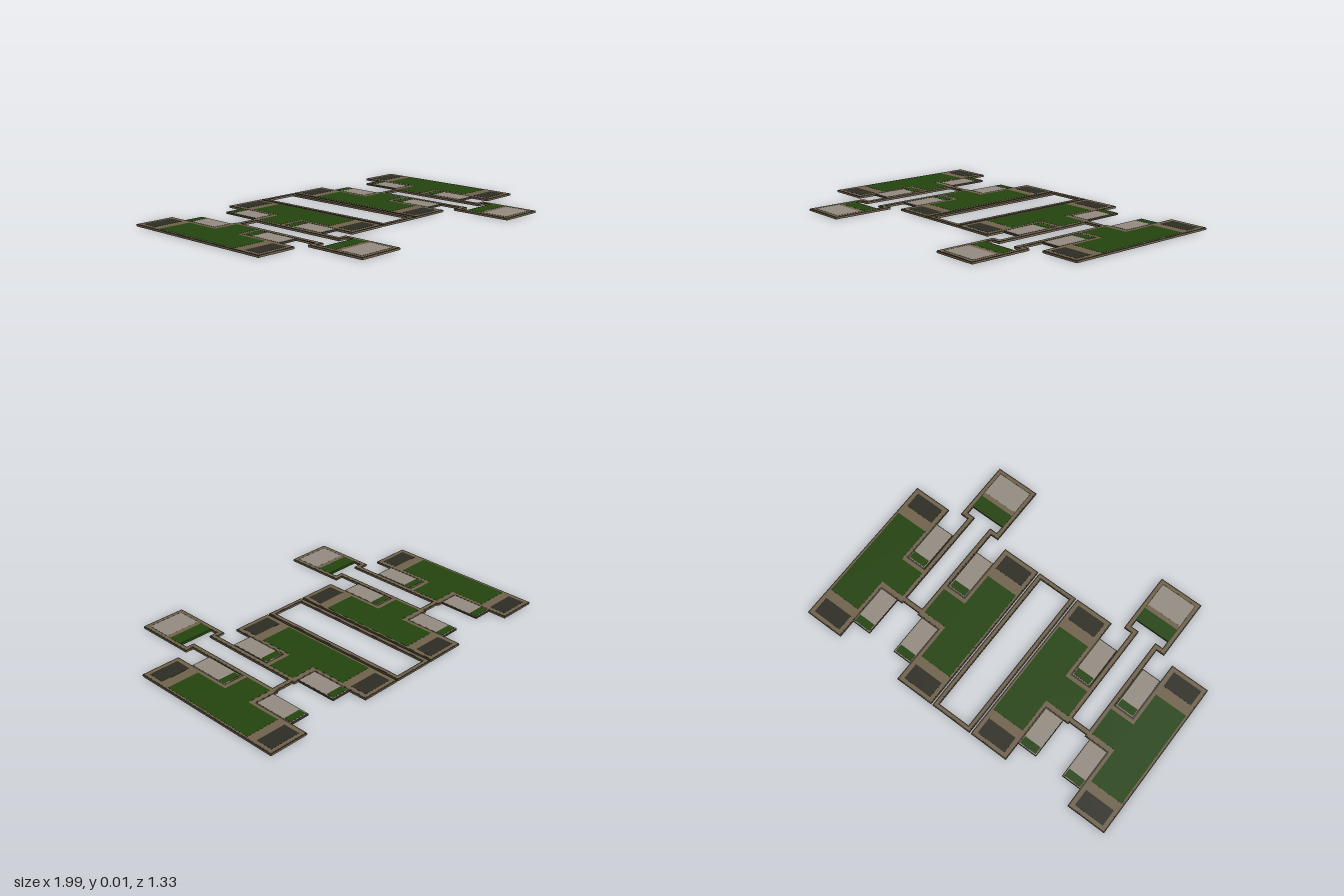
import * as THREE from 'three';

const mat = (name, color) => Object.assign(new THREE.MeshStandardMaterial({ color }), { name });
const H = 0.014; // overall thickness

export function createModel() {
  const stone = mat('brown stone', 0x6f624c);
  const edge = mat('dark edging', 0x40382b);
  const grass = mat('grass green', 0x24430f);
  const slate = mat('dark slate', 0x2e2d24);
  const paving = mat('pale paving', 0x938b80);
  const model = new THREE.Group();
  model.name = 'gardenTerrace';

  // Box given by its x and z limits, centred in the thickness
  function slab(parent, name, material, x0, x1, z0, z1, h) {
    const mesh = new THREE.Mesh(new THREE.BoxGeometry(Math.abs(x1 - x0), h, z1 - z0), material);
    mesh.position.set((x0 + x1) / 2, H / 2, (z0 + z1) / 2);
    mesh.name = name;
    parent.add(mesh);
  }

  // Stone kerb with dark lines along its top and bottom edges
  function kerb(parent, name, x0, x1, z0, z1) {
    const g = new THREE.Group();
    g.name = name;
    const t = 0.006, o = 0.0006;
    slab(g, name + 'Edging', edge, x0, x1, z0, z1, H - 0.0022);
    slab(g, name + 'Face', stone, x0 + t, x1 - t, z0 + t, z1 - t, H - 0.0012);
    slab(g, name + 'Side', stone, x0 - o, x1 + o, z0 - o, z1 + o, 0.007);
    parent.add(g);
  }

  // Half of a wing, measured outward from the wing's middle line
  function halfWing() {
    const g = new THREE.Group();
    g.name = 'halfWing';
    kerb(g, 'bedBase', 0.2, 0.43, -0.665, 0.28);
    kerb(g, 'armBase', 0.055, 0.215, -0.315, -0.085);
    slab(g, 'lawn', grass, 0.222, 0.416, -0.49, 0.095, H);
    slab(g, 'lawnArm', grass, 0.077, 0.223, -0.283, -0.112, H);
    slab(g, 'backSlate', slate, 0.228, 0.404, -0.64, -0.542, H);
    slab(g, 'frontSlate', slate, 0.228, 0.404, 0.157, 0.255, H);
    // Paved pads with a planted strip at the back of each
    [[-0.557, -0.315], [-0.085, 0.17]].forEach(([z0, z1]) => {
      slab(g, 'padEdging', edge, 0.085, 0.2, z0, z1, H - 0.003);
      slab(g, 'pad', paving, 0.089, 0.196, z0 + 0.004, z1 - 0.004, H - 0.0014);
      slab(g, 'padPlanting', grass, 0.093, 0.194, z0 + 0.008, z0 + 0.053, H);
    });
    // Long path rail and the shoulder of the end terrace
    kerb(g, 'pathRail', 0.055, 0.083, -0.3, 0.33);
    kerb(g, 'terraceShoulder', 0.055, 0.131, 0.302, 0.33);
    kerb(g, 'terraceSide', 0.103, 0.131, 0.302, 0.66);
    return g;
  }

  for (const side of [-1, 1]) {
    const wing = new THREE.Group();
    wing.name = side < 0 ? 'rightWing' : 'leftWing';
    wing.position.x = side * 0.564;
    for (const turn of [0, Math.PI]) {
      const half = halfWing();
      if (turn) half.scale.x = -1; // mirrored half
      wing.add(half);
    }
    kerb(wing, 'crossRail', -0.083, 0.083, -0.305, -0.275);
    // End terrace
    slab(wing, 'terracePlanting', grass, -0.109, 0.109, 0.378, 0.464, H);
    slab(wing, 'terraceStep', stone, -0.106, 0.106, 0.464, 0.49, H - 0.001);
    slab(wing, 'terracePaving', paving, -0.105, 0.105, 0.49, 0.634, H - 0.0004);
    kerb(wing, 'terraceFront', -0.131, 0.131, 0.632, 0.66);
    model.add(wing);
  }

  // Open frame between the wings
  const frame = new THREE.Group();
  frame.name = 'centreFrame';
  for (const s of [-1, 1]) kerb(frame, 'frameSide', s * 0.111 - 0.013, s * 0.111 + 0.013, -0.665, 0.28);
  kerb(frame, 'frameBack', -0.124, 0.124, -0.665, -0.639);
  kerb(frame, 'frameFront', -0.124, 0.124, 0.254, 0.28);
  model.add(frame);

  return model;
}
